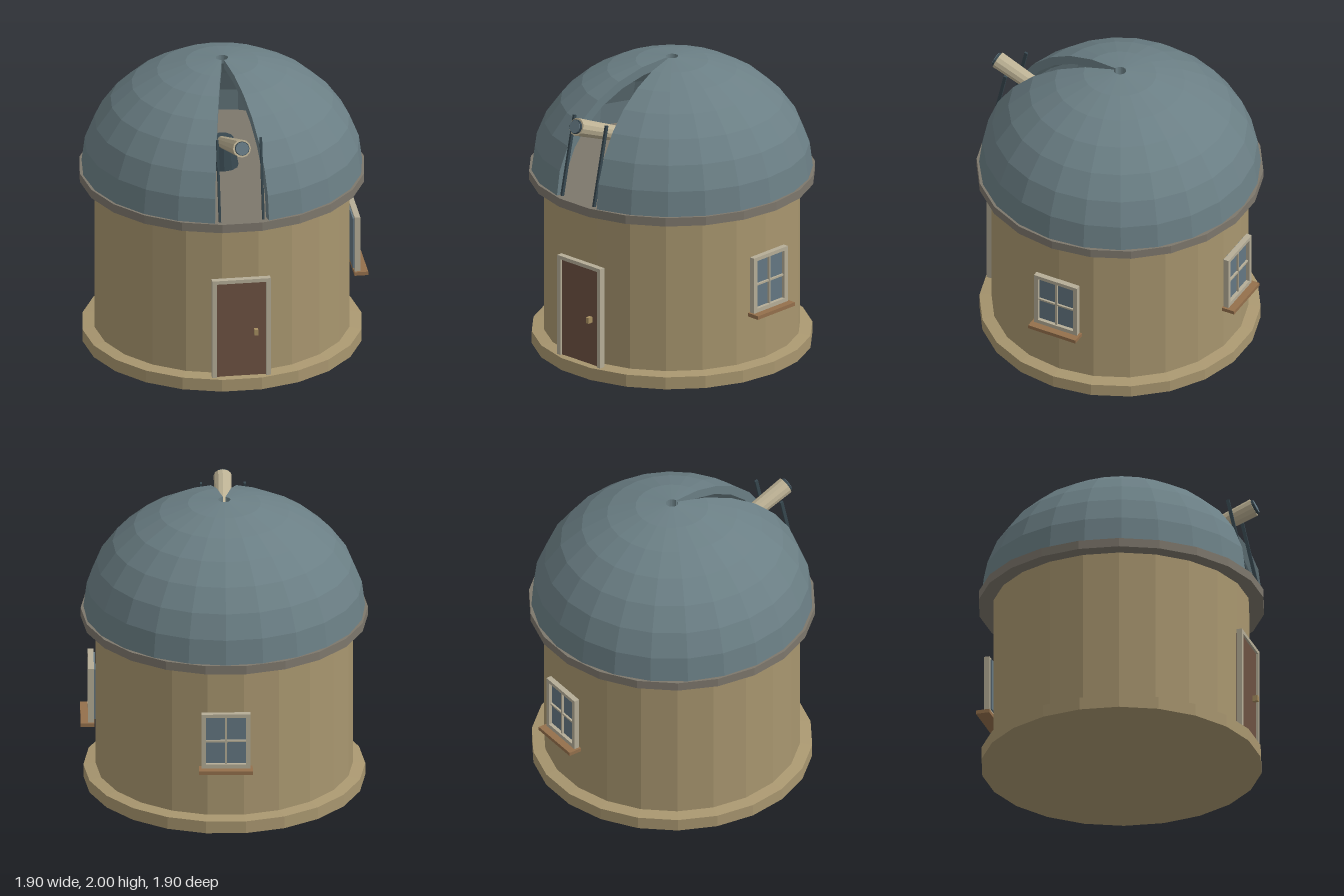
import * as THREE from 'three';

const mat = (name, color, side = THREE.FrontSide) => {
  const m = new THREE.MeshStandardMaterial({ color, flatShading: true, side });
  m.name = name;
  return m;
};

export function createModel() {
  const root = new THREE.Group();
  root.name = 'observatory';
  const stone = mat('sandstone', 0xa8966f);
  const domeSteel = mat('dome steel', 0x6b7f85, THREE.DoubleSide);
  const trim = mat('taupe trim', 0x7d776c);
  const doorWood = mat('door wood', 0x6d5142);
  const frameMat = mat('pale frame', 0xb5ad97);
  const sillWood = mat('sill wood', 0x94704c);
  const glass = mat('glass', 0x647782);
  const cream = mat('cream metal', 0xbcb194);
  const dark = mat('dark steel', 0x37474f);
  const brass = mat('brass', 0xa68e60);

  const add = (parent, name, geo, material, x = 0, y = 0, z = 0) => {
    const mesh = new THREE.Mesh(geo, material);
    mesh.name = name;
    mesh.position.set(x, y, z);
    parent.add(mesh);
    return mesh;
  };
  // box given by its minimum and maximum corners
  const box = (parent, name, material, [x0, y0, z0], [x1, y1, z1]) =>
    add(parent, name, new THREE.BoxGeometry(x1 - x0, y1 - y0, z1 - z0), material,
      (x0 + x1) / 2, (y0 + y1) / 2, (z0 + z1) / 2);
  const v2 = (x, y) => new THREE.Vector2(x, y);

  // Drum: 22 sides, with a flat facing the front
  const SIDES = 22;
  const drum = (name, pts, material) =>
    add(root, name, new THREE.LatheGeometry(pts, SIDES, Math.PI / 2), material);
  drum('base', [v2(0, 0), v2(0.93, 0), v2(0.93, 0.085), v2(0.84, 0.1)], stone);
  drum('wall', [v2(0.85, 0.09), v2(0.85, 1.17)], stone);
  drum('domeRing', [v2(0, 1.16), v2(0.948, 1.16), v2(0.948, 1.22), v2(0, 1.22)], trim);

  // Thick dome shell, open along a wedge at the front and with a small hole on top
  const arc = (r, h) => Array.from({ length: 8 }, (_, i) => {
    const a = THREE.MathUtils.degToRad(12.5 * i);
    return v2(r * Math.cos(a), 1.22 + h * Math.sin(a));
  });
  const profile = [...arc(0.93, 0.78), ...arc(0.87, 0.72).reverse()];
  const gap = THREE.MathUtils.degToRad(11.2);
  add(root, 'dome', new THREE.LatheGeometry(profile, SIDES, gap, Math.PI * 2 - gap * 2), domeSteel);
  for (const s of [-1, 1]) {
    const cheek = add(root, 'slotCheek', new THREE.ShapeGeometry(new THREE.Shape(profile)), domeSteel);
    cheek.rotation.y = s * gap - Math.PI / 2;
  }

  // Rails on both sides of the slot
  for (const s of [-1, 1]) {
    const from = new THREE.Vector3(s * 0.145, 1.225, 0.9);
    const to = new THREE.Vector3(s * 0.145, 1.765, 0.78);
    const rail = add(root, 'slotRail', new THREE.BoxGeometry(0.015, from.distanceTo(to), 0.022), dark);
    rail.position.copy(from).lerp(to, 0.5);
    rail.rotation.x = Math.atan2(to.z - from.z, to.y - from.y);
  }

  // Telescope on its pedestal
  add(root, 'pedestal', new THREE.CylinderGeometry(0.075, 0.11, 0.2, 12), dark, 0, 1.32, 0);
  const scope = new THREE.Group();
  scope.name = 'telescope';
  scope.position.set(0, 1.756, 0.915);
  scope.rotation.x = THREE.MathUtils.degToRad(90 - 22);
  root.add(scope);
  add(scope, 'tube', new THREE.CylinderGeometry(0.06, 0.038, 1.02, 12), cream, 0, -0.51, 0);
  add(scope, 'lens', new THREE.CylinderGeometry(0.048, 0.048, 0.03, 12), dark, 0, 0.001, 0);
  add(scope, 'lensGlass', new THREE.CylinderGeometry(0.044, 0.044, 0.004, 12), glass, 0, 0.017, 0);

  // Door with frame and handle
  const door = new THREE.Group();
  door.name = 'door';
  root.add(door);
  box(door, 'doorLeaf', doorWood, [-0.17, 0.09, 0.845], [0.17, 0.775, 0.88]);
  for (const s of [-1, 1])
    box(door, 'doorJamb', frameMat, [s * 0.18 - 0.015, 0.09, 0.855], [s * 0.18 + 0.015, 0.79, 0.895]);
  box(door, 'doorLintel', frameMat, [-0.195, 0.767, 0.855], [0.195, 0.792, 0.895]);
  box(door, 'doorHandle', brass, [0.085, 0.39, 0.875], [0.11, 0.43, 0.915]);

  // Windows, modelled facing +z, then turned to the left side and the back
  for (const turn of [Math.PI / 2, Math.PI]) {
    const win = new THREE.Group();
    win.name = 'window';
    win.rotation.y = turn;
    root.add(win);
    box(win, 'pane', glass, [-0.14, 0.475, 0.852], [0.14, 0.835, 0.875]);
    for (const s of [-1, 1])
      box(win, 'windowStile', frameMat, [s * 0.146 - 0.015, 0.46, 0.862], [s * 0.146 + 0.015, 0.85, 0.9]);
    box(win, 'windowHead', frameMat, [-0.161, 0.825, 0.862], [0.161, 0.85, 0.9]);
    box(win, 'windowFoot', frameMat, [-0.161, 0.46, 0.862], [0.161, 0.488, 0.9]);
    box(win, 'mullion', frameMat, [-0.006, 0.48, 0.87], [0.006, 0.83, 0.89]);
    box(win, 'transom', frameMat, [-0.135, 0.645, 0.87], [0.135, 0.657, 0.889]);
    box(win, 'sill', sillWood, [-0.177, 0.435, 0.858], [0.177, 0.46, 0.95]);
  }
  return root;
}
